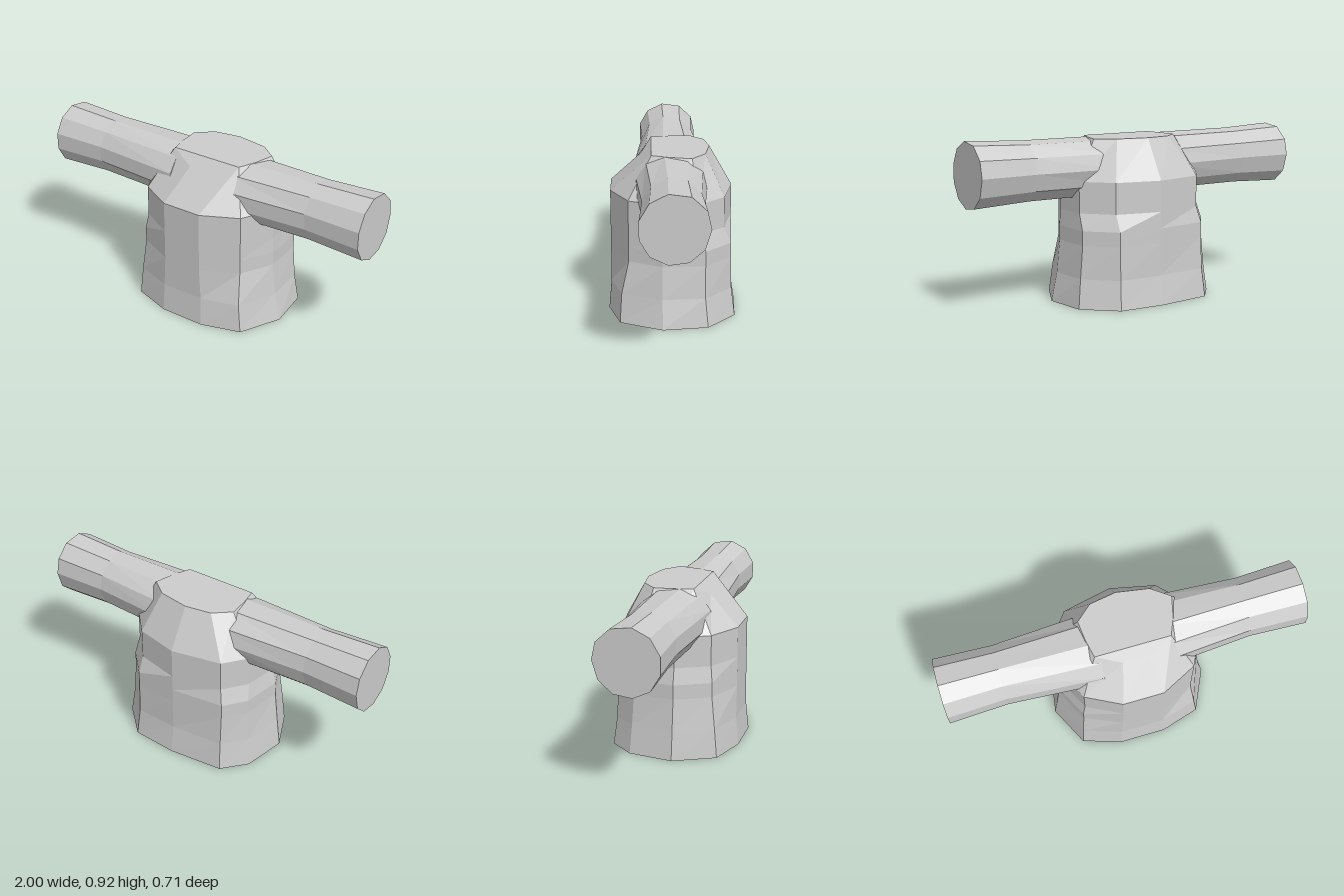
import * as THREE from 'three';

// Skin a list of equal-length rings and close both ends with fans.
// Each ring runs counter-clockwise as seen from the last ring.
function loft(rings) {
  const n = rings[0].length, pos = [];
  const tri = (a, b, c) => pos.push(...a, ...b, ...c);
  for (let i = 0; i < rings.length - 1; i++) {
    for (let j = 0; j < n; j++) {
      const k = (j + 1) % n, lo = rings[i], hi = rings[i + 1];
      tri(lo[j], lo[k], hi[k]);
      tri(lo[j], hi[k], hi[j]);
    }
  }
  const last = rings[rings.length - 1];
  for (let j = 1; j < n - 1; j++) {
    tri(rings[0][0], rings[0][j + 1], rings[0][j]);
    tri(last[0], last[j], last[j + 1]);
  }
  const geo = new THREE.BufferGeometry();
  geo.setAttribute('position', new THREE.Float32BufferAttribute(pos, 3));
  geo.computeVertexNormals();
  return geo;
}

// Body outlines as [x, z], starting at the front left corner
const base = [[0.38, 0.29], [0.49, 0.06], [0.46, -0.185], [0.29, -0.34], [0.03, -0.355], [-0.28, -0.32],
  [-0.39, -0.19], [-0.43, 0.06], [-0.32, 0.285], [-0.1, 0.355], [0.16, 0.355]];
const lower = [[0.36, 0.28], [0.455, 0.06], [0.44, -0.17], [0.28, -0.32], [0.03, -0.33], [-0.27, -0.3],
  [-0.37, -0.18], [-0.41, 0.06], [-0.31, 0.27], [-0.1, 0.34], [0.15, 0.34]];
const waist = [[0.34, 0.24], [0.435, 0.06], [0.425, -0.17], [0.28, -0.315], [0.03, -0.33], [-0.27, -0.29],
  [-0.36, -0.17], [-0.39, 0.06], [-0.295, 0.25], [-0.09, 0.34], [0.14, 0.34]];
const shoulder = [[0.34, 0.24], [0.43, 0.06], [0.42, -0.13], [0.28, -0.275], [0.03, -0.33], [-0.25, -0.27],
  [-0.345, -0.14], [-0.37, 0.06], [-0.28, 0.24], [-0.09, 0.34], [0.14, 0.34]];
const crown = [[0.24, 0.115], [0.28, 0.02], [0.31, -0.1], [0.21, -0.175], [0.03, -0.205], [-0.12, -0.18],
  [-0.21, -0.1], [-0.2, 0.01], [-0.18, 0.115], [-0.04, 0.17], [0.1, 0.17]];

// Arm end outline as [z, y]
const armEnd = [[0.04, 0.915], [-0.07, 0.9], [-0.145, 0.83], [-0.165, 0.74], [-0.135, 0.64], [-0.06, 0.575],
  [0.04, 0.562], [0.13, 0.605], [0.18, 0.69], [0.18, 0.785], [0.13, 0.87]];

export function createModel() {
  const group = new THREE.Group();
  const material = new THREE.MeshStandardMaterial({ color: 0xcccccc, flatShading: true });
  const add = (name, rings) => {
    const mesh = new THREE.Mesh(loft(rings), material);
    mesh.name = name;
    group.add(mesh);
  };

  // Tapered body; the front edge of its crown dips
  const level = (outline, y) => outline.map(([x, z]) => [x, z > 0.15 && y > 0.8 ? 0.845 : y, z]);
  add('body', [level(base, 0), level(lower, 0.16), level(waist, 0.34), level(waist, 0.42),
    level(shoulder, 0.51), level(shoulder, 0.68), level(crown, 0.9)]);

  // Arms: [distance from centre, depth scale, height scale]
  const stations = (inner) => [[inner, 1.13, 0.91], [0.68, 0.92, 0.92], [1, 1, 1]];
  const armRings = (side, inner) => stations(inner).map(([d, sz, sy]) =>
    armEnd.map(([z, y]) => [side * d, 0.74 + (y - 0.74) * sy, 0.007 + (z - 0.007) * sz]));
  add('leftArm', armRings(1, 0.2).reverse());
  add('rightArm', armRings(-1, 0.15));

  return group;
}
